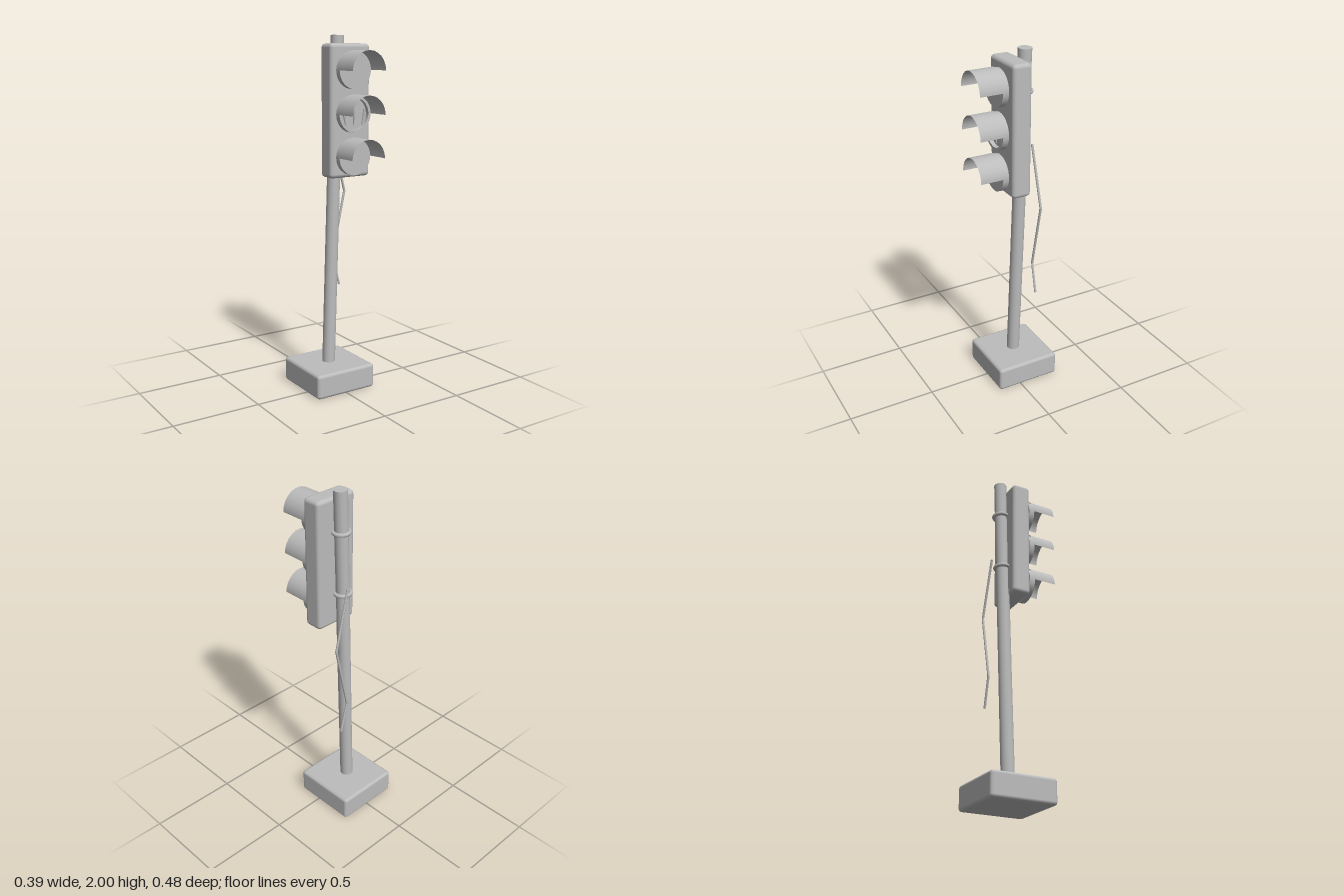
import * as THREE from 'three';
import { RoundedBoxGeometry } from 'three/addons/geometries/RoundedBoxGeometry.js';

export function createModel() {
  const model = new THREE.Group();
  const grey = new THREE.MeshStandardMaterial({ color: 0xbcbcbc, side: THREE.DoubleSide });
  grey.name = 'plain grey';

  const add = (name, geometry, x = 0, y = 0, z = 0) => {
    const mesh = new THREE.Mesh(geometry, grey);
    mesh.name = name;
    mesh.position.set(x, y, z);
    model.add(mesh);
    return mesh;
  };
  // Round bar between two points
  const bar = (name, a, b, r, sides, rTop = r) => {
    const from = new THREE.Vector3(...a), to = new THREE.Vector3(...b);
    const dir = to.clone().sub(from);
    const mesh = add(name, new THREE.CylinderGeometry(rTop, r, dir.length(), sides));
    mesh.position.copy(from).add(to).multiplyScalar(0.5);
    mesh.quaternion.setFromUnitVectors(new THREE.Vector3(0, 1, 0), dir.normalize());
    return mesh;
  };
  // Cylinder lying along z between two depths
  const disc = (r, z0, z1) =>
    new THREE.CylinderGeometry(r, r, z1 - z0, 32).rotateX(Math.PI / 2).translate(0, 0, (z0 + z1) / 2);

  // Foot and leaning pole
  add('base', new RoundedBoxGeometry(0.38, 0.14, 0.38, 2, 0.018), -0.005, 0.07, -0.05);
  const foot = [-0.009, 0.12, -0.049], tip = [0.065, 1.999, -0.071];
  const pole = bar('pole', foot, tip, 0.037, 24);

  // Signal housing
  add('housing', new RoundedBoxGeometry(0.256, 0.726, 0.11, 2, 0.022), 0.065, 1.592, 0.01);

  // Three lamps with half-round hoods
  const cx = 0.064;
  const hood = new THREE.CylinderGeometry(0.106, 0.106, 0.143, 12, 1, true, Math.PI / 2, Math.PI)
    .rotateX(Math.PI / 2);
  [1.814, 1.58, 1.347].forEach((y, i) => {
    add('hood', hood, cx, y, 0.169);
    if (i !== 1) {
      add('lens', disc(0.101, 0.075, 0.109), cx, y, 0);
      return;
    }
    // Broken middle lamp: open rim, recessed back and glass shards
    const rim = new THREE.Shape().absarc(0, 0, 0.101, 0, Math.PI * 2);
    rim.holes.push(new THREE.Path().absarc(0, 0, 0.086, 0, Math.PI * 2, true));
    add('lensRim', new THREE.ExtrudeGeometry(rim, { depth: 0.024, bevelEnabled: false, curveSegments: 24 }),
      cx, y, 0.085);
    add('lampBack', disc(0.101, 0.075, 0.086), cx, y, 0);
    for (const s of [-1, 0, 1]) {
      bar('shard', [cx + s * 0.052, y - 0.068, 0.096], [cx + s * 0.07, y + 0.025, 0.096], 0.003, 6, 0.007);
    }
  });

  // Clamps tying the housing to the pole
  for (const y of [1.77, 1.415]) {
    const t = (y - foot[1]) / (tip[1] - foot[1]);
    const x = foot[0] + t * (tip[0] - foot[0]), z = foot[2] + t * (tip[2] - foot[2]);
    const clamp = add('clamp', new THREE.TorusGeometry(0.043, 0.011, 8, 24).rotateX(Math.PI / 2), x, y, z);
    clamp.quaternion.copy(pole.quaternion);
  }

  // Dangling bent cable
  const cable = [[0.062, 1.465, -0.123], [0.152, 1.12, -0.13], [0.07, 0.74, -0.13], [0.115, 0.565, -0.128]];
  for (let i = 0; i < cable.length - 1; i++) {
    bar('cable', cable[i], cable[i + 1], 0.007, 8);
    if (i) add('cableBend', new THREE.SphereGeometry(0.007, 8, 6), ...cable[i]);
  }
  return model;
}
